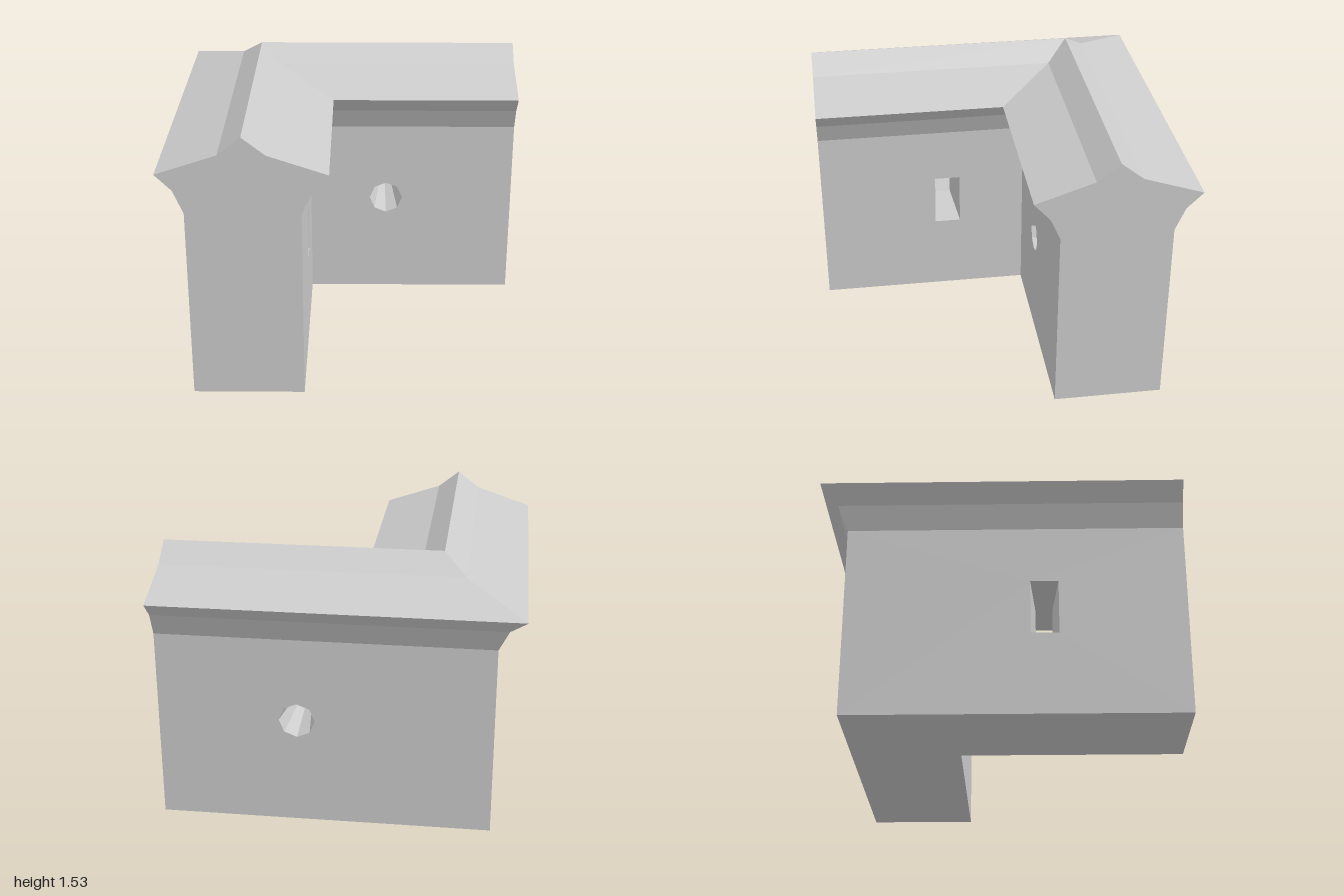
import * as THREE from 'three';

// Wall section, outer foot over the ridge to inner foot: [offset, height]
const PROFILE = [
  [-0.855, 0], [-0.855, 1.1], [-0.91, 1.23], [-1, 1.32], [-0.67, 1.43], [-0.545, 1.53],
  [-0.42, 1.43], [-0.095, 1.32], [-0.185, 1.22], [-0.24, 1.095], [-0.24, 0],
];
const OUTER = -0.855, INNER = -0.24, END = 1;

const material = new THREE.MeshStandardMaterial({ color: 0xcccccc, flatShading: true });

// Collects triangles; points are [along, height, offset]
function makeMesh(name, tris, swap) {
  const pos = [];
  for (const t of tris) {
    // the second arm is the first one mirrored across the mitre plane
    const corners = swap ? [t[0], t[2], t[1]] : t;
    for (const [u, y, p] of corners) pos.push(...(swap ? [p, y, u] : [u, y, p]));
  }
  const geo = new THREE.BufferGeometry();
  geo.setAttribute('position', new THREE.Float32BufferAttribute(pos, 3));
  geo.computeVertexNormals();
  const mesh = new THREE.Mesh(geo, material);
  mesh.name = name;
  return mesh;
}

const quad = (a, b, c, d) => [[a, b, c], [a, c, d]];

// Triangulated flat outline with optional hole, placed by a mapping
function flat(points, hole, map, reverse) {
  const vec = (list) => list.map(([x, y]) => new THREE.Vector2(x, y));
  const shape = new THREE.Shape(vec(points));
  if (hole) shape.holes.push(new THREE.Path(vec(hole)));
  const geo = new THREE.ShapeGeometry(shape);
  const p = geo.attributes.position, idx = geo.index.array, tris = [];
  for (let i = 0; i < idx.length; i += 3) {
    const t = [0, 1, 2].map((k) => map(p.getX(idx[i + k]), p.getY(idx[i + k])));
    tris.push(reverse ? t.reverse() : t);
  }
  return tris;
}

// One mitred arm with an opening that narrows halfway through the wall
function makeArm(name, rim, throat, swap) {
  const arm = new THREE.Group();
  arm.name = name;

  // strip of the section, from the mitre to the free end
  const strip = (i) => {
    const [p, y] = PROFILE[i], [q, h] = PROFILE[(i + 1) % PROFILE.length];
    return quad([p, y, p], [q, h, q], [END, h, q], [END, y, p]);
  };

  // wall faces and underside
  const wall = strip(PROFILE.length - 1);
  for (const [p, top] of [[OUTER, 1.1], [INNER, 1.095]]) {
    const outline = [[p, 0], [END, 0], [END, top], [p, top]];
    wall.push(...flat(outline, rim, (x, y) => [x, y, p], p === OUTER));
  }
  arm.add(makeMesh('wall', wall, swap));

  // flared coping
  const coping = [];
  for (let i = 1; i < PROFILE.length - 2; i++) coping.push(...strip(i));
  arm.add(makeMesh('coping', coping, swap));

  // end face
  arm.add(makeMesh('endFace', flat(PROFILE, null, (x, y) => [END, y, x], true), swap));

  // splayed opening
  const rings = [[rim, INNER], [throat, (INNER + OUTER) / 2], [rim, OUTER]]
    .map(([pts, z]) => pts.map(([x, y]) => [x, y, z]));
  const opening = [];
  for (let r = 0; r < 2; r++) {
    const a = rings[r], b = rings[r + 1];
    a.forEach((_, i) => {
      const j = (i + 1) % a.length;
      opening.push(...quad(a[i], a[j], b[j], b[i]));
    });
  }
  arm.add(makeMesh('opening', opening, swap));
  return arm;
}

const octagon = (r) => Array.from({ length: 8 }, (_, i) => {
  const a = (i * Math.PI) / 4;
  return [0.225 + r * Math.cos(a), 0.62 + r * Math.sin(a)];
});
const slot = (w, h) => [[-w, -h], [w, -h], [w, h], [-w, h]].map(([x, y]) => [0.23 + x, 0.62 + y]);

export function createModel() {
  const model = new THREE.Group();
  model.name = 'cornerWall';
  model.add(makeArm('backArm', octagon(0.1), octagon(0.055), false));
  model.add(makeArm('sideArm', slot(0.077, 0.155), slot(0.047, 0.125), true));
  return model;
}
